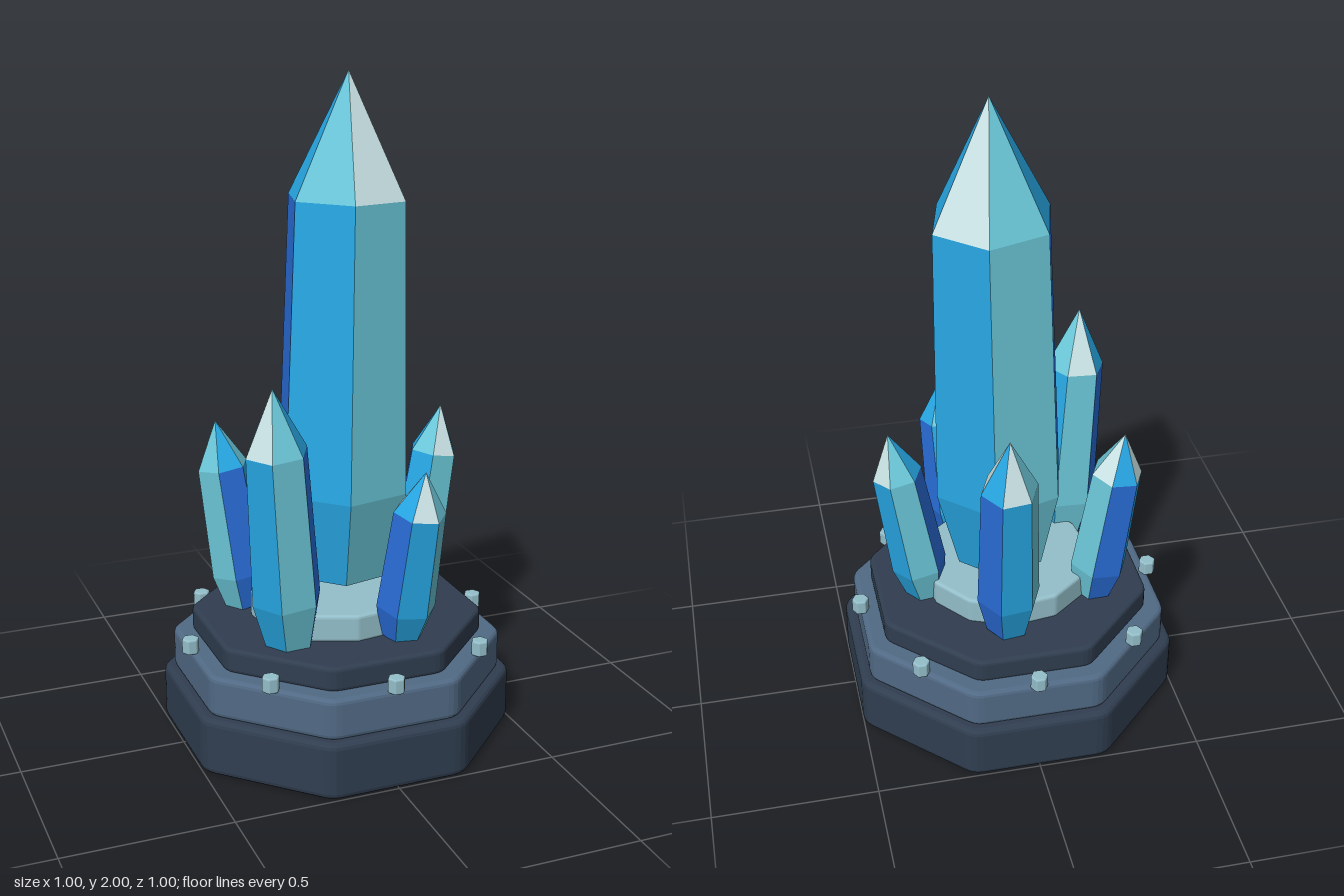
import * as THREE from 'three';

const mat = (name, color) => {
  const m = new THREE.MeshStandardMaterial({ color });
  m.name = name;
  return m;
};

export function createModel() {
  const group = new THREE.Group();
  const slate = mat('dark slate', 0x303e50);
  const steel = mat('blue steel', 0x516a85);
  const paleSteel = mat('pale steel', 0x94bfca);
  const crystalMats = [
    mat('royal blue', 0x2a70dc),
    mat('azure', 0x28a9e6),
    mat('teal', 0x6cc8da),
    mat('pale ice', 0xcde6e8),
  ];

  const add = (name, geo, material) => {
    const mesh = new THREE.Mesh(geo, material);
    mesh.name = name;
    group.add(mesh);
    return mesh;
  };

  // Upright prism with softened corners and bevelled rims; radius is the corner radius
  const prism = (sides, radius, y0, y1, bevel, turn, round) => {
    const r = radius - bevel / Math.cos(Math.PI / sides);
    const pts = [];
    for (let i = 0; i < sides; i++) {
      const a = turn + (i / sides) * Math.PI * 2;
      pts.push(new THREE.Vector2(Math.cos(a) * r, Math.sin(a) * r));
    }
    const shape = new THREE.Shape();
    pts.forEach((p, i) => {
      const before = p.clone().lerp(pts[(i + sides - 1) % sides], round);
      const after = p.clone().lerp(pts[(i + 1) % sides], round);
      if (i === 0) shape.moveTo(before.x, before.y);
      else shape.lineTo(before.x, before.y);
      shape.quadraticCurveTo(p.x, p.y, after.x, after.y);
    });
    shape.closePath();
    const geo = new THREE.ExtrudeGeometry(shape, {
      depth: y1 - y0 - 2 * bevel, bevelEnabled: true, bevelThickness: bevel,
      bevelSize: bevel, bevelSegments: 3, curveSegments: 3,
    });
    return geo.rotateX(-Math.PI / 2).translate(0, y0 + bevel, 0);
  };

  // Octagonal stepped base
  const oct = (apothem, y0, y1, bevel) =>
    prism(8, apothem / Math.cos(Math.PI / 8), y0, y1, bevel, Math.PI / 8, 0.06);
  add('baseLowerTier', oct(0.5, 0, 0.175, 0.018), slate);
  add('baseMiddleTier', oct(0.47, 0.172, 0.298, 0.015), steel);
  add('baseDeck', oct(0.415, 0.295, 0.37, 0.012), slate);

  // Twelve-sided plate under the main crystal
  add('crystalPlate', prism(12, 0.268, 0.365, 0.45, 0.01, THREE.MathUtils.degToRad(-7), 0.04), paleSteel);

  // Ring of hexagonal bolts
  const boltGeo = prism(6, 0.027, 0.295, 0.342, 0.005, 0, 0.05);
  for (let i = 0; i < 8; i++) {
    const a = (i * Math.PI) / 4;
    add('bolt', boltGeo, paleSteel).position.set(Math.cos(a) * 0.47, 0, Math.sin(a) * 0.47);
  }

  // Six-sided crystal from foot to tip; facing is the angle of its first face
  const sideColors = [0, 2, 1, 0, 2, 1];
  const tipColors = [1, 3, 2, 1, 2, 3];
  const crystal = (name, foot, tip, radius, facing) => {
    const from = new THREE.Vector3(...foot);
    const axis = new THREE.Vector3(...tip).sub(from);
    const h = axis.length();
    const rings = [[0, 0.7], [0.18, 1], [0.76, 0.88]];
    const at = (level, i) => {
      const a = THREE.MathUtils.degToRad(facing - 30 + i * 60);
      const [t, s] = rings[level];
      return [Math.cos(a) * radius * s, t * h, Math.sin(a) * radius * s];
    };
    const pos = [];
    const geo = new THREE.BufferGeometry();
    const face = (color, ...corners) => {
      const start = pos.length / 3;
      for (let k = 1; k < corners.length - 1; k++) {
        pos.push(...corners[0], ...corners[k], ...corners[k + 1]);
      }
      geo.addGroup(start, pos.length / 3 - start, color);
    };
    for (let i = 0; i < 6; i++) {
      for (let l = 0; l < 2; l++) {
        face(sideColors[i], at(l, i), at(l + 1, i), at(l + 1, i + 1), at(l, i + 1));
      }
      face(tipColors[i], at(2, i), [0, h, 0], at(2, i + 1));
      face(sideColors[i], [0, 0, 0], at(0, i), at(0, i + 1));
    }
    geo.setAttribute('position', new THREE.Float32BufferAttribute(pos, 3));
    geo.computeVertexNormals();
    const mesh = add(name, geo, crystalMats);
    mesh.position.copy(from);
    mesh.quaternion.setFromUnitVectors(new THREE.Vector3(0, 1, 0), axis.normalize());
  };

  crystal('mainCrystal', [0.02, 0.485, -0.017], [0.055, 2, -0.04], 0.21, 14);
  crystal('frontRightCrystal', [-0.222, 0.37, 0.19], [-0.285, 1.165, 0.24], 0.107, 207);
  crystal('frontLeftCrystal', [0.108, 0.37, 0.26], [0.14, 0.9, 0.345], 0.09, 160);
  crystal('leftCrystal', [0.265, 0.37, -0.03], [0.365, 0.97, -0.04], 0.086, 25);
  crystal('backCrystal', [0.05, 0.38, -0.265], [0.066, 1.11, -0.36], 0.097, 325);
  crystal('backRightCrystal', [-0.25, 0.37, -0.135], [-0.325, 0.96, -0.17], 0.09, 266);

  return group;
}
